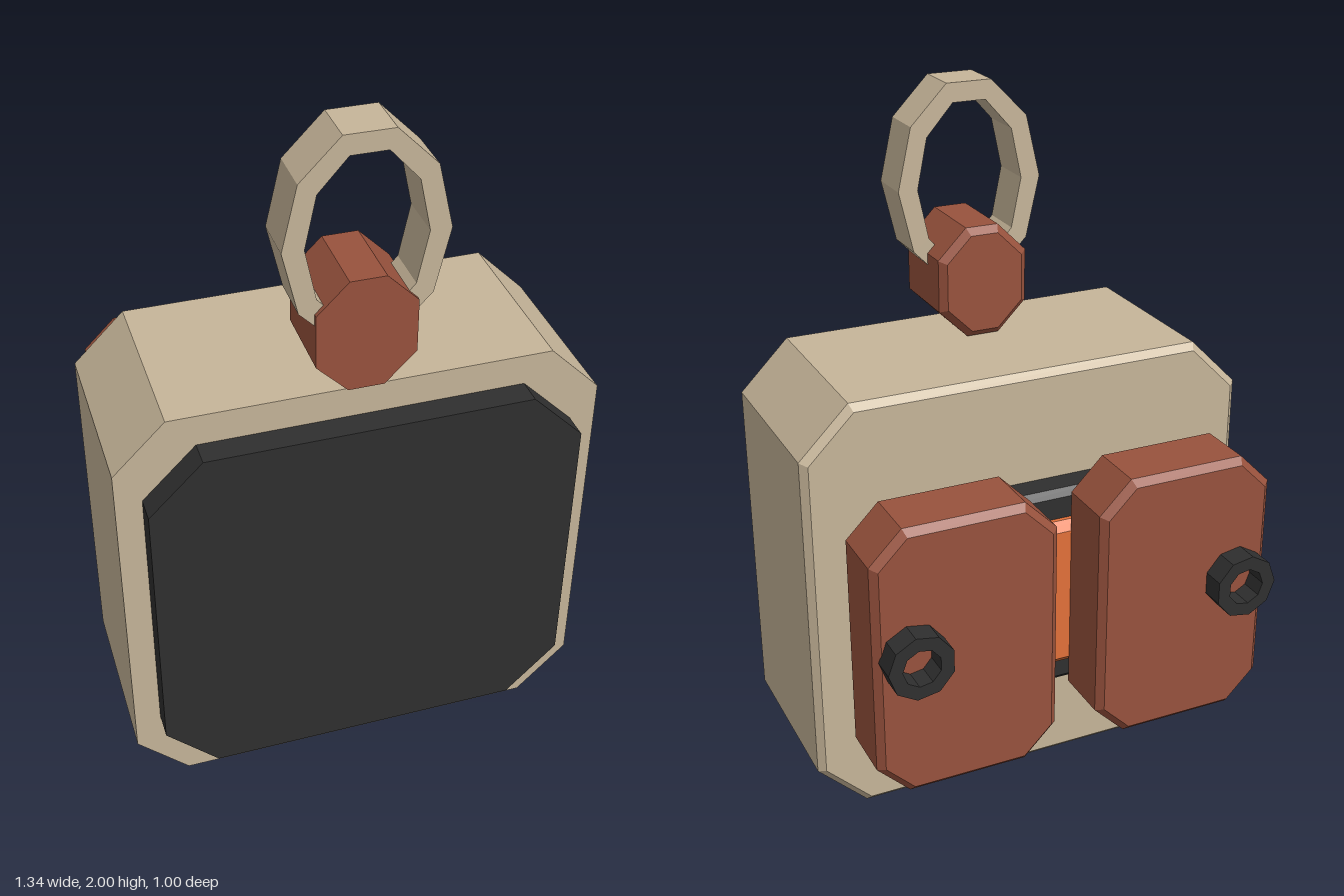
import * as THREE from 'three';

const mat = (name, color) => {
  const m = new THREE.MeshStandardMaterial({ color });
  m.name = name;
  return m;
};

// Corner-cut rectangle, counter-clockwise, shrunk evenly by inset
function octagon(w, h, cut, inset) {
  const x = w / 2 - inset, y = h / 2 - inset;
  const c = cut - inset * (2 - Math.SQRT2);
  return [[x, -y + c], [x, y - c], [x - c, y], [-x + c, y],
    [-x, y - c], [-x, -y + c], [-x + c, -y], [x - c, -y]];
}

// Corner-cut block from zBack to zFront, with an optional bevel round the back edge
function block(w, h, cut, zBack, zFront, bevel = 0) {
  const loops = [[zFront, 0], [zBack + bevel, 0]];
  if (bevel) loops.push([zBack, bevel]);
  const rings = loops.map(([z, inset]) => octagon(w, h, cut, inset).map(([x, y]) => [x, y, z]));
  const pos = [];
  const tri = (a, b, c) => pos.push(...a, ...b, ...c);
  for (let r = 0; r < rings.length - 1; r++) {
    const front = rings[r], back = rings[r + 1];
    for (let i = 0; i < 8; i++) {
      const j = (i + 1) % 8;
      tri(back[i], back[j], front[j]);
      tri(back[i], front[j], front[i]);
    }
  }
  const first = rings[0], last = rings[rings.length - 1];
  for (let i = 1; i < 7; i++) {
    tri(first[0], first[i], first[i + 1]);
    tri(last[0], last[i + 1], last[i]);
  }
  const g = new THREE.BufferGeometry();
  g.setAttribute('position', new THREE.Float32BufferAttribute(pos, 3));
  g.computeVertexNormals();
  return g;
}

// Flat-sided elliptical ring; start is the angle of the first corner
function ring(sides, outer, inner, depth, start = 0) {
  const pts = ([rx, ry]) => Array.from({ length: sides }, (_, i) => {
    const a = start + (i / sides) * Math.PI * 2;
    return new THREE.Vector2(rx * Math.cos(a), ry * Math.sin(a));
  });
  const shape = new THREE.Shape(pts(outer));
  shape.holes.push(new THREE.Path(pts(inner).reverse()));
  return new THREE.ExtrudeGeometry(shape, { depth, bevelEnabled: false });
}

export function createModel() {
  const model = new THREE.Group();
  model.name = 'lantern';

  const beige = mat('beige', 0xc6b599);
  const red = mat('brick red', 0x98523d);
  const dark = mat('charcoal', 0x2f2f2f);
  const orange = mat('orange', 0xe2703a);

  const add = (name, geometry, material, x = 0, y = 0, z = 0) => {
    const m = new THREE.Mesh(geometry, material);
    m.name = name;
    m.position.set(x, y, z);
    model.add(m);
  };

  // Case and front panel
  add('body', block(1.34, 1.28, 0.145, -0.12, 0.425, 0.02), beige, 0, 0.64);
  add('frontPanel', block(1.195, 1.1, 0.148, 0.42, 0.5), dark, 0, 0.64);

  // Hanging loop and its mount
  add('loopMount', block(0.27, 0.325, 0.086, 0.187, 0.437, 0.02), red, 0, 1.446);
  add('hangingLoop', ring(10, [0.218, 0.305], [0.16, 0.247], 0.138), beige, 0, 1.71, 0.286);

  // Stepped pads on the back
  add('backPad', block(0.69, 0.63, 0.055, -0.212, -0.11, 0.02), dark, 0, 0.635);
  add('backSpacer', block(0.46, 0.465, 0.045, -0.25, -0.2, 0.025), orange, 0, 0.633);

  // Paired back plates, each with a hollow stud
  for (const side of [-1, 1]) {
    const label = side > 0 ? 'left' : 'right';
    add(label + 'BackPlate', block(0.535, 0.81, 0.094, -0.434, -0.247, 0.02), red, side * 0.3315, 0.65);
    add(label + 'Stud', ring(9, [0.095, 0.095], [0.055, 0.055], 0.072, side > 0 ? 0 : Math.PI),
      dark, side * 0.492, 0.685, -0.502);
  }
  return model;
}
